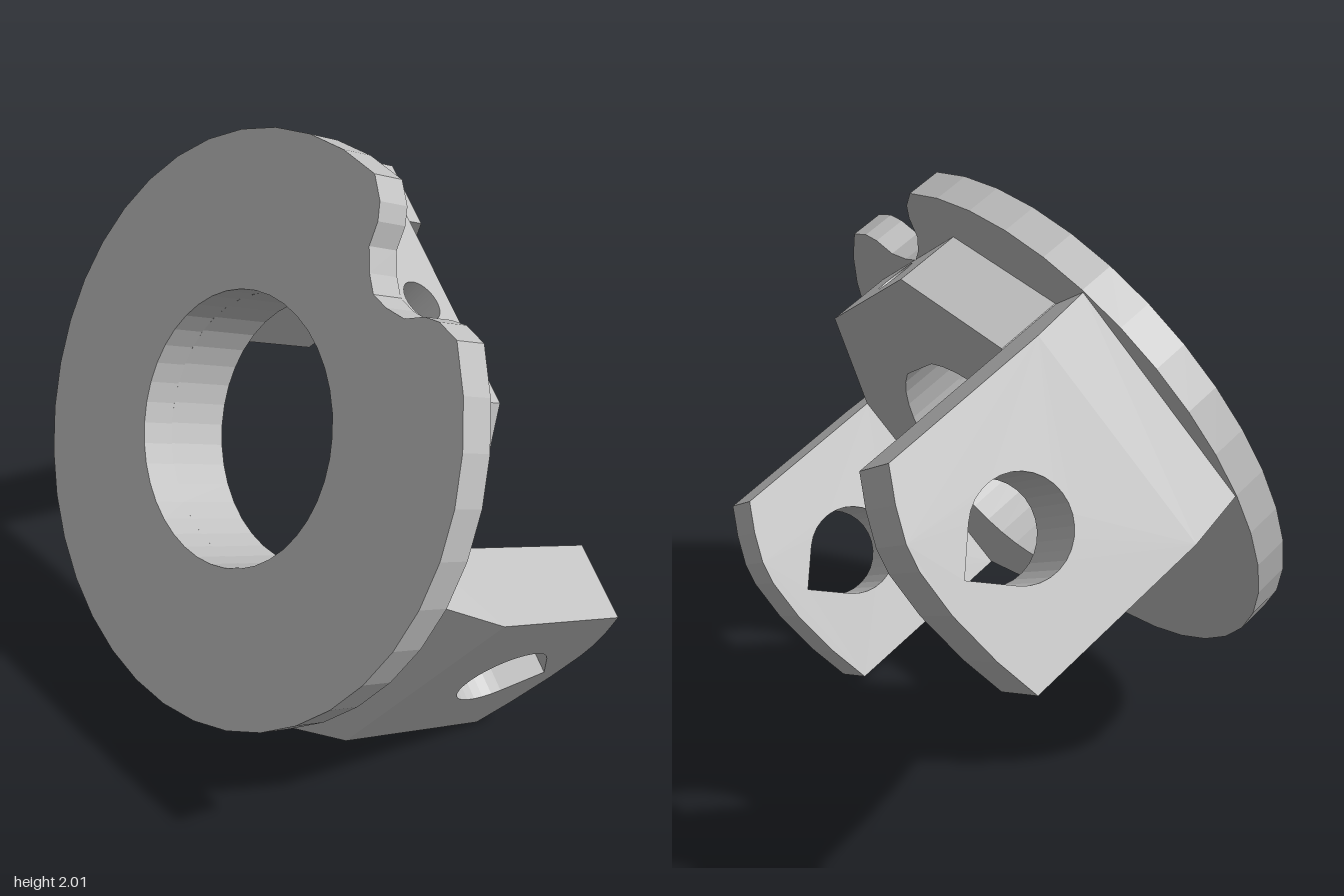
import * as THREE from 'three';

const BORE = 0.437, RIM = 0.94;      // radii
const FLANGE = -0.118, BACK = -0.343; // depths behind the front face
const INNER = 0.66, OUTER = 0.925, HALF = 0.377; // lug extents

const V = (x, y) => new THREE.Vector2(x, y);

function arc(radius, from, to, n) {
  return Array.from({ length: n + 1 }, (_, i) => {
    const a = from + (to - from) * i / n;
    return V(radius * Math.cos(a), radius * Math.sin(a));
  });
}

function extrude(shape, depth) {
  return new THREE.ExtrudeGeometry(shape, { depth, bevelEnabled: false, curveSegments: 24 });
}

// Moves every vertex by a rule, then rebuilds flat normals
function remap(geometry, rule) {
  const g = geometry.index ? geometry.toNonIndexed() : geometry;
  const p = g.attributes.position;
  for (let i = 0; i < p.count; i++) p.setXYZ(i, ...rule(p.getX(i), p.getY(i), p.getZ(i)));
  g.computeVertexNormals();
  return g;
}

export function createModel() {
  const model = new THREE.Group();
  const body = new THREE.Group();
  body.name = 'tiltedBracket';
  body.position.set(-0.005, 1.15, 0.415);
  body.rotation.set(-0.4147, 0, -0.576);
  model.add(body);

  const grey = new THREE.MeshStandardMaterial({ color: 0xc0c0c0 });
  grey.name = 'grey';
  const add = (name, geometry) => {
    const mesh = new THREE.Mesh(geometry, grey);
    mesh.name = name;
    body.add(mesh);
  };

  // Round flange with a rounded notch in the rim
  const gap = 0.32;
  const half = [[0.215, 0.867], [0.17, 0.83], [0.13, 0.765], [0.062, 0.725]];
  const notch = [
    ...half.map(([x, y]) => V(x, y)), V(0, 0.705),
    ...half.slice().reverse().map(([x, y]) => V(-x, y)),
  ];
  const rim = arc(RIM, Math.PI / 2 + gap, Math.PI * 2.5 - gap, 34);
  const flange = new THREE.Shape([...rim, ...notch]);
  flange.holes.push(new THREE.Path(arc(BORE, 0, Math.PI * 2, 40).slice(0, -1)));
  add('flange', extrude(flange, -FLANGE).translate(0, 0, FLANGE));

  // Faceted hub behind the flange, open where the drilled part sits
  const slot = 0.12, slotAngle = Math.asin(slot / BORE);
  const hub = new THREE.Shape([
    V(-slot, 0.706), V(-0.36, 0.706), V(-INNER, 0.38), V(-INNER, -HALF),
    V(0.1, -0.62), V(INNER, -HALF), V(INNER, 0.38), V(0.36, 0.706), V(slot, 0.706),
    ...arc(BORE, Math.PI / 2 - slotAngle, -Math.PI * 1.5 + slotAngle, 36),
  ]);
  add('hub', extrude(hub, FLANGE - BACK).translate(0, 0, BACK));

  // Drilled part of the hub, its inner end following the bore
  const drilled = new THREE.Shape([V(BACK, -slot), V(FLANGE, -slot), V(FLANGE, slot), V(BACK, slot)]);
  drilled.holes.push(new THREE.Path().absarc(-0.21, 0, 0.07, 0, Math.PI * 2, true));
  add('drilledHub', remap(extrude(drilled, 1), (w, d, t) =>
    [d, t > 0.5 ? 0.706 : Math.sqrt(BORE * BORE - d * d), w]));

  // Two lugs with arched ends and teardrop holes
  const lug = new THREE.Shape([
    V(HALF, BACK), V(-HALF, BACK), V(-HALF, -0.992), V(-0.23, -1.022), V(-0.05, -1.04),
    V(0.1, -1.035), V(0.18, -1.017), V(0.28, -0.972), V(HALF, -0.915),
  ]);
  const tear = arc(0.158, -Math.PI / 4, Math.PI * 1.25, 22).map((p) => V(p.x, p.y - 0.73));
  lug.holes.push(new THREE.Path([...tear, V(0, -0.952)]));

  for (const side of [1, -1]) {
    const label = side > 0 ? 'left' : 'right';
    const start = side > 0 ? INNER : -OUTER;
    add(label + 'Lug', remap(extrude(lug, OUTER - INNER), (t, w, d) => [d + start, t, w]));

    // Foot of the lug, sloping in to the flange edge
    const foot = new THREE.BoxGeometry(OUTER - INNER, HALF * 2, FLANGE - BACK);
    foot.translate(side * (INNER + OUTER) / 2, 0, (FLANGE + BACK) / 2);
    add(label + 'LugFoot', remap(foot, (x, y, z) =>
      [x * side > 0.8 && z > -0.2 ? side * 0.853 : x, y, z]));
  }
  return model;
}
